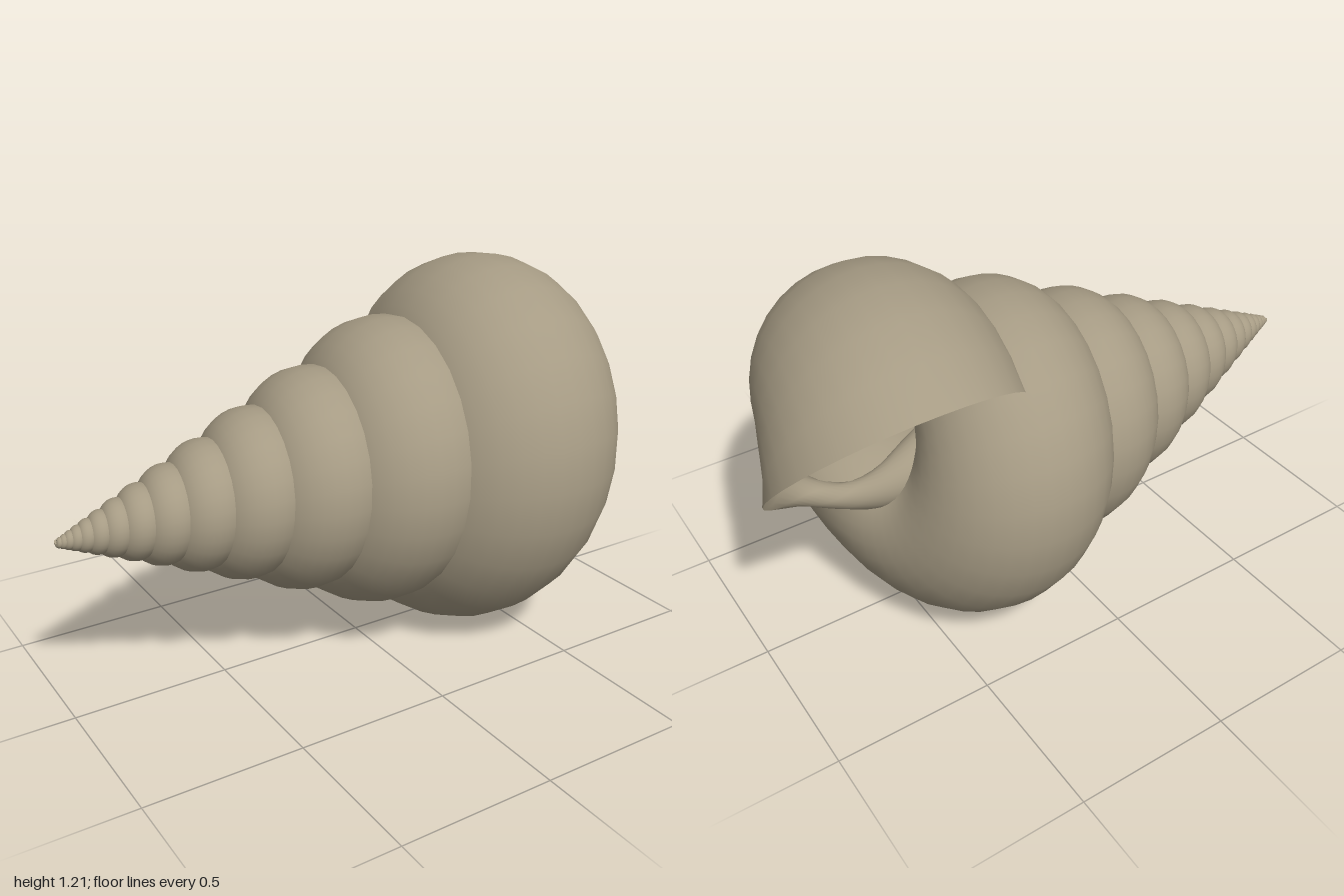
import * as THREE from 'three';

// Shell of one circular tube coiling round the x axis and growing by a constant rate.
const TURNS = 14, STEPS = 28, SIDES = 36;
const GROWTH = 0.28;                    // log growth per turn
const APEX = [-1.021, 0.565, -0.036];   // start of the coil axis
const LENGTH = 1.621, COIL = 0.27, TUBE = 0.4; // sizes at the mouth
const MOUTH = THREE.MathUtils.degToRad(43);    // mouth direction, from up towards the back

function shellGeometry() {
  const positions = [], index = [];
  const rings = TURNS * STEPS;
  for (let i = 0; i <= rings; i++) {
    const turn = i / STEPS - TURNS;     // 0 at the mouth, negative towards the tip
    const scale = Math.exp(GROWTH * turn);
    const angle = MOUTH + turn * Math.PI * 2;
    for (let j = 0; j < SIDES; j++) {
      const v = (j / SIDES) * Math.PI * 2;
      const d = scale * (COIL + TUBE * Math.cos(v));
      positions.push(
        APEX[0] + scale * (LENGTH + TUBE * Math.sin(v)),
        APEX[1] + d * Math.cos(angle),
        APEX[2] - d * Math.sin(angle)
      );
      if (i === rings) continue;
      const a = i * SIDES + j, b = i * SIDES + (j + 1) % SIDES;
      index.push(a, b, a + SIDES, b, b + SIDES, a + SIDES);
    }
  }
  // Close the tip
  for (let j = 1; j < SIDES - 1; j++) index.push(0, j + 1, j);

  const geometry = new THREE.BufferGeometry();
  geometry.setAttribute('position', new THREE.Float32BufferAttribute(positions, 3));
  geometry.setIndex(index);
  geometry.computeVertexNormals();
  return geometry;
}

export function createModel() {
  const group = new THREE.Group();
  group.name = 'spiralShell';
  // Thin wall, open at the mouth
  const material = new THREE.MeshStandardMaterial({ color: 0xa69b84, side: THREE.DoubleSide });
  const shell = new THREE.Mesh(shellGeometry(), material);
  shell.name = 'shellWhorls';
  group.add(shell);
  return group;
}
